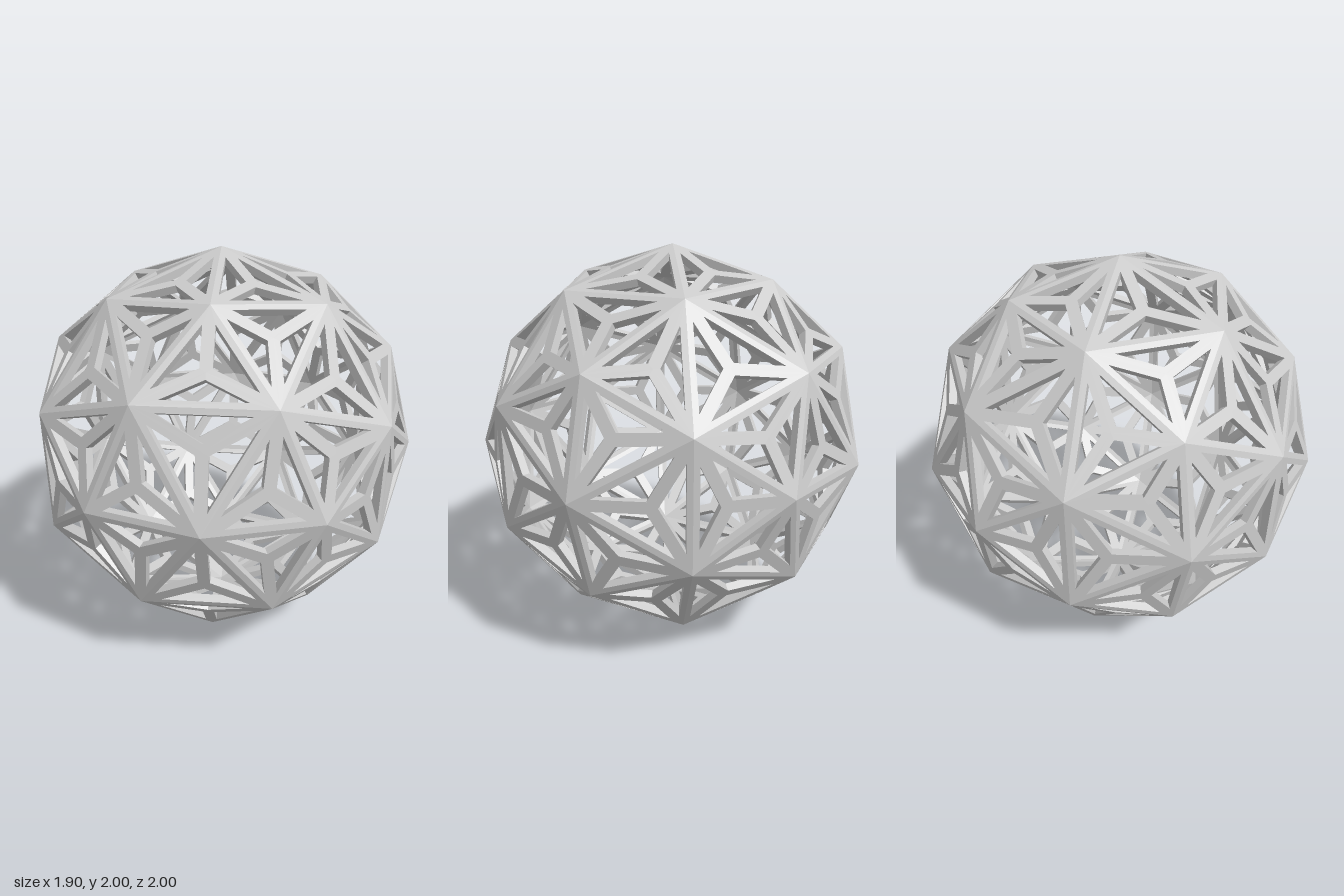
import * as THREE from 'three';

const HALF_WIDTH = 0.028; // half the width of a strut
const INNER = 0.96;       // inner shell scale, sets the strut depth

export function createModel() {
  const group = new THREE.Group();
  group.name = 'geodesicSphere';

  // 80-sided geodesic ball with a five-strut hub facing the front
  const ball = new THREE.IcosahedronGeometry(1, 1);
  ball.rotateY(-Math.atan((1 + Math.sqrt(5)) / 2));
  const pos = ball.getAttribute('position');
  const corner = (i) => new THREE.Vector3().fromBufferAttribute(pos, i);

  const out = [];
  const quad = (a, b, c, d) => {
    for (const p of [a, b, c, a, c, d]) out.push(p.x, p.y, p.z);
  };
  const inward = (p) => p.clone().multiplyScalar(INNER);

  // Shrink a triangle towards its incentre so every edge moves in by HALF_WIDTH
  function inset([a, b, c]) {
    const la = b.distanceTo(c), lb = c.distanceTo(a), lc = a.distanceTo(b);
    const perimeter = la + lb + lc;
    const centre = new THREE.Vector3()
      .addScaledVector(a, la / perimeter)
      .addScaledVector(b, lb / perimeter)
      .addScaledVector(c, lc / perimeter);
    const radius = 2 * new THREE.Triangle(a, b, c).getArea() / perimeter;
    return [a, b, c].map((p) => p.clone().lerp(centre, HALF_WIDTH / radius));
  }

  // Frame around one triangular hole: outer face, inner face and hole wall
  function addFrame(tri) {
    const hole = inset(tri);
    for (let i = 0; i < 3; i++) {
      const j = (i + 1) % 3;
      const A = tri[i], B = tri[j], a = hole[i], b = hole[j];
      quad(A, B, b, a);
      quad(inward(a), inward(b), inward(B), inward(A));
      quad(a, b, inward(b), inward(a));
    }
  }

  // Each flat panel carries three holes that meet at its middle
  for (let f = 0; f < pos.count; f += 3) {
    const v = [corner(f), corner(f + 1), corner(f + 2)];
    const middle = v[0].clone().add(v[1]).add(v[2]).divideScalar(3);
    for (let i = 0; i < 3; i++) addFrame([v[i], v[(i + 1) % 3], middle]);
  }

  const geometry = new THREE.BufferGeometry();
  geometry.setAttribute('position', new THREE.Float32BufferAttribute(out, 3));
  geometry.computeVertexNormals();

  const lattice = new THREE.Mesh(
    geometry,
    new THREE.MeshStandardMaterial({ color: 0xcccccc, flatShading: true })
  );
  lattice.name = 'strutLattice';
  lattice.position.y = 1;
  group.add(lattice);
  return group;
}
